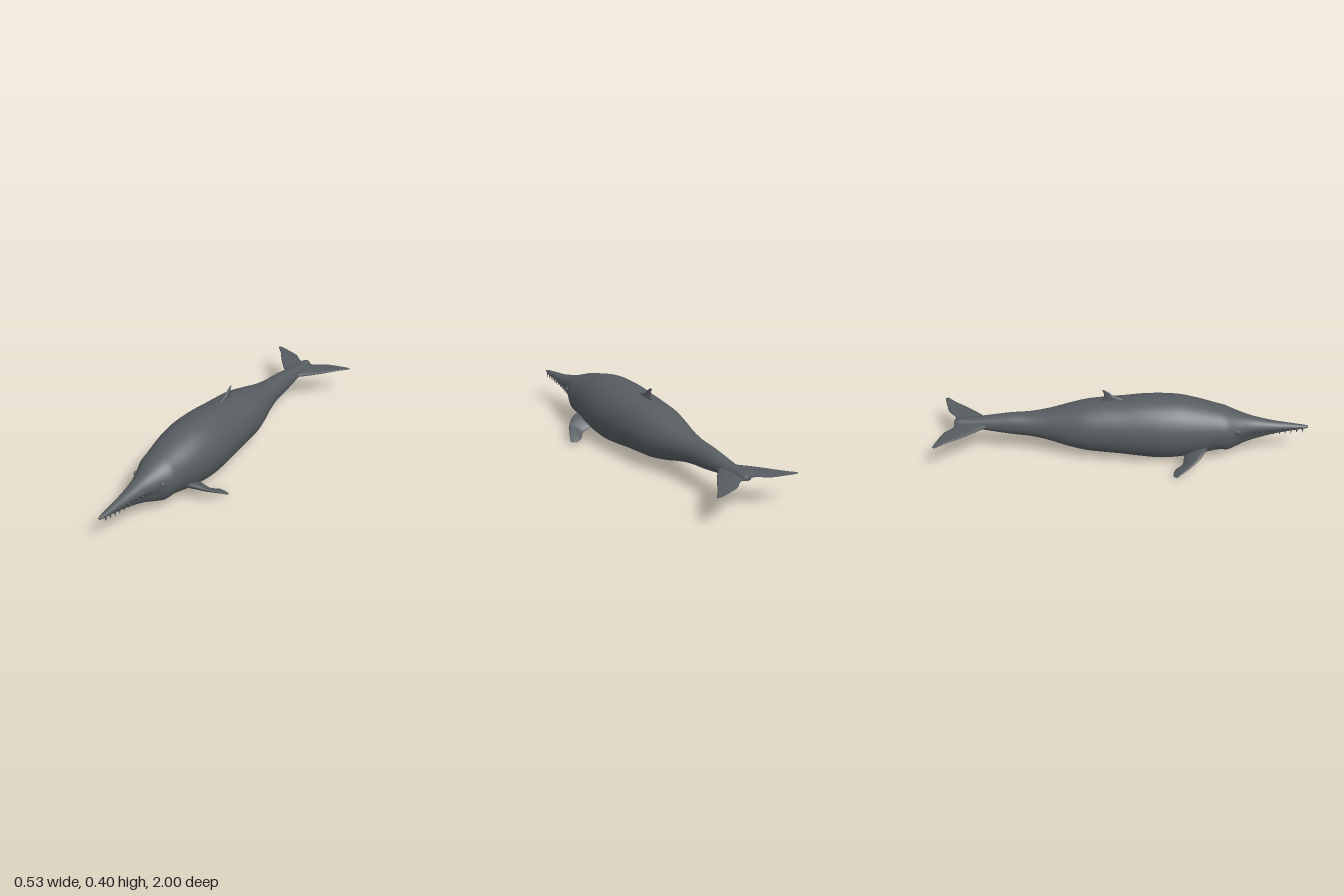
import * as THREE from 'three';

const MID = 0.18; // height of the body's widest line

// Joins rings of points (arrays of Vector3) into a closed, smooth skin facing outward.
function loft(rings) {
  const n = rings[0].length, pos = [], idx = [];
  rings.forEach(r => r.forEach(p => pos.push(p.x, p.y, p.z)));
  for (let i = 0; i < rings.length - 1; i++) {
    for (let j = 0; j < n; j++) {
      const a = i * n + j, b = i * n + (j + 1) % n;
      idx.push(a, b, a + n, b, b + n, a + n);
    }
  }
  // end caps
  [0, rings.length - 1].forEach((k, e) => {
    const c = new THREE.Vector3();
    rings[k].forEach(p => c.addScaledVector(p, 1 / n));
    const ci = pos.length / 3;
    pos.push(c.x, c.y, c.z);
    for (let j = 0; j < n; j++) {
      const a = k * n + j, b = k * n + (j + 1) % n;
      if (e) idx.push(ci, a, b); else idx.push(ci, b, a);
    }
  });
  // turn the faces around if the enclosed volume is negative
  const at = i => new THREE.Vector3().fromArray(pos, i * 3);
  let volume = 0;
  for (let i = 0; i < idx.length; i += 3) {
    volume += at(idx[i]).dot(at(idx[i + 1]).cross(at(idx[i + 2])));
  }
  if (volume < 0) idx.reverse();
  const g = new THREE.BufferGeometry();
  g.setAttribute('position', new THREE.Float32BufferAttribute(pos, 3));
  g.setIndex(idx);
  g.computeVertexNormals();
  return g;
}

// Fin from sections [leading point, trailing point, half thickness].
function fin(sections, normal, side = 1) {
  const lead = new THREE.CatmullRomCurve3(sections.map(s => new THREE.Vector3(...s[0])));
  const trail = new THREE.CatmullRomCurve3(sections.map(s => new THREE.Vector3(...s[1])));
  const nrm = new THREE.Vector3(...normal).normalize();
  const rings = [], steps = 20, last = sections.length - 1;
  for (let i = 0; i <= steps; i++) {
    const t = i / steps, k = Math.min(Math.floor(t * last), last - 1);
    const th = THREE.MathUtils.lerp(sections[k][2], sections[k + 1][2], t * last - k);
    const a = lead.getPoint(t), b = trail.getPoint(t), ring = [];
    for (let j = 0; j < 16; j++) {
      const u = j / 16 * Math.PI * 2;
      const p = b.clone().lerp(a, 0.5 + 0.5 * Math.cos(u));
      p.addScaledVector(nrm, th * Math.sin(u) * (1 + 0.3 * Math.cos(u)));
      p.x *= side;
      ring.push(p);
    }
    rings.push(ring);
  }
  return loft(rings);
}

// Body profile: z, top, bottom, half width
const PROFILE = [
  [1.0, .188, .174, .008], [.97, .193, .168, .014], [.9, .203, .155, .022],
  [.8, .217, .131, .035], [.7, .24, .098, .055], [.65, .255, .078, .073],
  [.6, .273, .056, .094], [.565, .287, .045, .111], [.54, .297, .049, .118],
  [.5, .308, .047, .124], [.4, .335, .024, .146], [.3, .355, .007, .16],
  [.2, .359, 0, .165], [.1, .355, .009, .161], [0, .343, .022, .155],
  [-.1, .334, .03, .147], [-.2, .32, .04, .138], [-.3, .295, .061, .114],
  [-.4, .268, .09, .085], [-.5, .25, .111, .065], [-.6, .243, .12, .055],
  [-.7, .229, .135, .046], [-.8, .214, .151, .036], [-.89, .205, .165, .028],
  [-.915, .197, .172, .018],
];

function bodyGeometry() {
  const shape = new THREE.CatmullRomCurve3(PROFILE.map(p => new THREE.Vector3(p[1], p[2], p[3])), false, 'catmullrom');
  const along = new THREE.CatmullRomCurve3(PROFILE.map(p => new THREE.Vector3(0, 0, p[0])), false, 'catmullrom');
  const rings = [], steps = (PROFILE.length - 1) * 3;
  for (let i = 0; i <= steps; i++) {
    const s = shape.getPoint(i / steps), z = along.getPoint(i / steps).z, ring = [];
    const pinch = 0.32 * THREE.MathUtils.smoothstep(z, 0.57, 0.7);
    for (let j = 0; j < 40; j++) {
      const u = j / 40 * Math.PI * 2, sn = Math.sin(u);
      // the lower jaw is set in beneath the upper one
      const w = s.z * (sn < 0 ? 1 - pinch * Math.min(1, -sn * 2.5) : 1);
      ring.push(new THREE.Vector3(w * Math.cos(u), MID + sn * (sn > 0 ? s.x - MID : MID - s.y), z));
    }
    rings.push(ring);
  }
  return loft(rings);
}

// half width of the body at a given z
function halfWidth(z) {
  const i = PROFILE.findIndex(p => p[0] <= z);
  const a = PROFILE[i - 1], b = PROFILE[i];
  return THREE.MathUtils.mapLinear(z, a[0], b[0], a[3], b[3]);
}

export function createModel() {
  const model = new THREE.Group();
  const skin = new THREE.MeshStandardMaterial({ color: 0x565c60 });
  skin.name = 'slate grey skin';
  const add = (name, geometry, parent = model) => {
    const m = new THREE.Mesh(geometry, skin);
    m.name = name;
    parent.add(m);
    return m;
  };

  add('body', bodyGeometry());

  // small swept back fin
  add('dorsalFin', fin([
    [[0, .325, .03], [0, .325, -.115], .011],
    [[0, .347, -.01], [0, .345, -.107], .008],
    [[0, .362, -.05], [0, .365, -.1], .006],
    [[0, .386, -.078], [0, .383, -.105], .004],
    [[0, .399, -.1], [0, .397, -.112], .0015],
  ], [1, 0, 0]));

  const flipper = [
    [[.085, .108, .465], [.09, .065, .33], .024],
    [[.15, .104, .44], [.135, .05, .33], .018],
    [[.2, .084, .405], [.168, .038, .322], .012],
    [[.232, .058, .36], [.198, .027, .286], .008],
    [[.253, .034, .318], [.232, .017, .274], .004],
    [[.263, .02, .295], [.25, .016, .277], .0015],
  ];
  const fluke = [
    [[-.01, MID, -.67], [-.01, MID, -.912], .016],
    [[.05, MID, -.745], [.05, MID, -.917], .012],
    [[.1, MID, -.8], [.1, MID, -.958], .009],
    [[.15, MID, -.862], [.165, MID, -.981], .006],
    [[.2, MID, -.932], [.215, MID, -.995], .004],
    [[.248, MID, -.985], [.242, MID, -1.0], .0015],
  ];

  for (const [side, label] of [[1, 'left'], [-1, 'right']]) {
    add(label + 'Flipper', fin(flipper, [.45, .8, -.25], side));
    add(label + 'Fluke', fin(fluke, [0, 1, 0], side));

    const eye = add(label + 'Eye', new THREE.SphereGeometry(.014, 16, 12));
    eye.scale.set(.7, 1, 1);
    eye.position.set(side * .086, .196, .614);

    // pointed teeth hanging from the edge of the upper jaw
    const teeth = new THREE.Group();
    teeth.name = label + 'Teeth';
    model.add(teeth);
    for (let i = 0; i < 11; i++) {
      const t = i / 10, z = .66 + .31 * t;
      const tooth = add('tooth', new THREE.ConeGeometry(.0065, .03, 8), teeth);
      tooth.rotation.x = Math.PI;
      tooth.position.set(side * halfWidth(z) * .88, .152 + .013 * t, z);
    }
  }
  return model;
}
